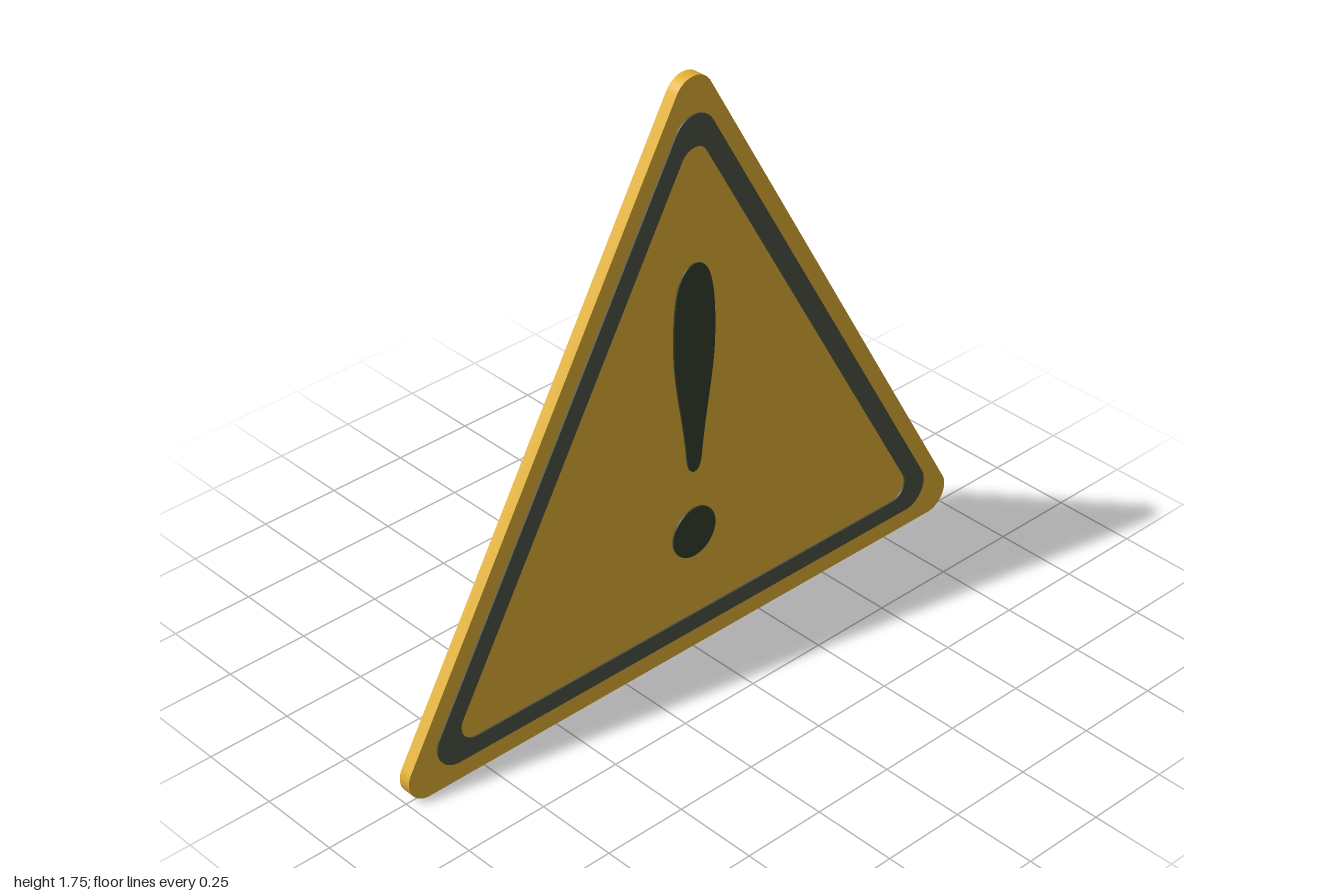
import * as THREE from 'three';

const BACK = -0.021, FACE = 0.016, FRONT = 0.021;

// Trace an equilateral triangle with round corners, from its half width and base height
function roundedTriangle(path, halfWidth, base, r) {
  const c = halfWidth - r;
  const y = base + r;
  const a = Math.PI / 6;
  path.absarc(c, y, r, -Math.PI / 2, a, false);
  path.absarc(0, y + c * Math.sqrt(3), r, a, Math.PI - a, false);
  path.absarc(-c, y, r, Math.PI - a, Math.PI * 1.5, false);
  path.closePath();
  return path;
}

function slab(name, shape, z0, z1, color) {
  const geometry = new THREE.ExtrudeGeometry(shape, {
    depth: z1 - z0, bevelEnabled: false, curveSegments: 20,
  });
  geometry.translate(0, 0, z0);
  const mesh = new THREE.Mesh(geometry, new THREE.MeshStandardMaterial({ color }));
  mesh.name = name;
  return mesh;
}

export function createModel() {
  const sign = new THREE.Group();
  sign.name = 'warningSign';

  // Yellow backing plate
  const plate = roundedTriangle(new THREE.Shape(), 1, 0, 0.067);
  sign.add(slab('plate', plate, BACK, FACE, 0xe0b034));

  // Raised dark border
  const border = roundedTriangle(new THREE.Shape(), 0.905, 0.058, 0.072);
  border.holes.push(roundedTriangle(new THREE.Path(), 0.824, 0.112, 0.05));
  sign.add(slab('border', border, FACE, FRONT, 0x4c5346));

  // Tapered stroke of the exclamation mark
  const stroke = new THREE.Shape();
  stroke.moveTo(0, 0.578);
  stroke.bezierCurveTo(0.016, 0.578, 0.023, 0.596, 0.027, 0.63);
  stroke.bezierCurveTo(0.042, 0.78, 0.073, 0.86, 0.073, 1.0);
  stroke.bezierCurveTo(0.073, 1.15, 0.05, 1.215, 0, 1.215);
  stroke.bezierCurveTo(-0.05, 1.215, -0.073, 1.15, -0.073, 1.0);
  stroke.bezierCurveTo(-0.073, 0.86, -0.042, 0.78, -0.027, 0.63);
  stroke.bezierCurveTo(-0.023, 0.596, -0.016, 0.578, 0, 0.578);
  sign.add(slab('markStroke', stroke, FACE, FRONT, 0x333f2b));

  // Dot of the exclamation mark
  const dot = new THREE.Shape();
  dot.absarc(0, 0.382, 0.077, 0, Math.PI * 2, false);
  sign.add(slab('markDot', dot, FACE, FRONT, 0x333f2b));

  return sign;
}
